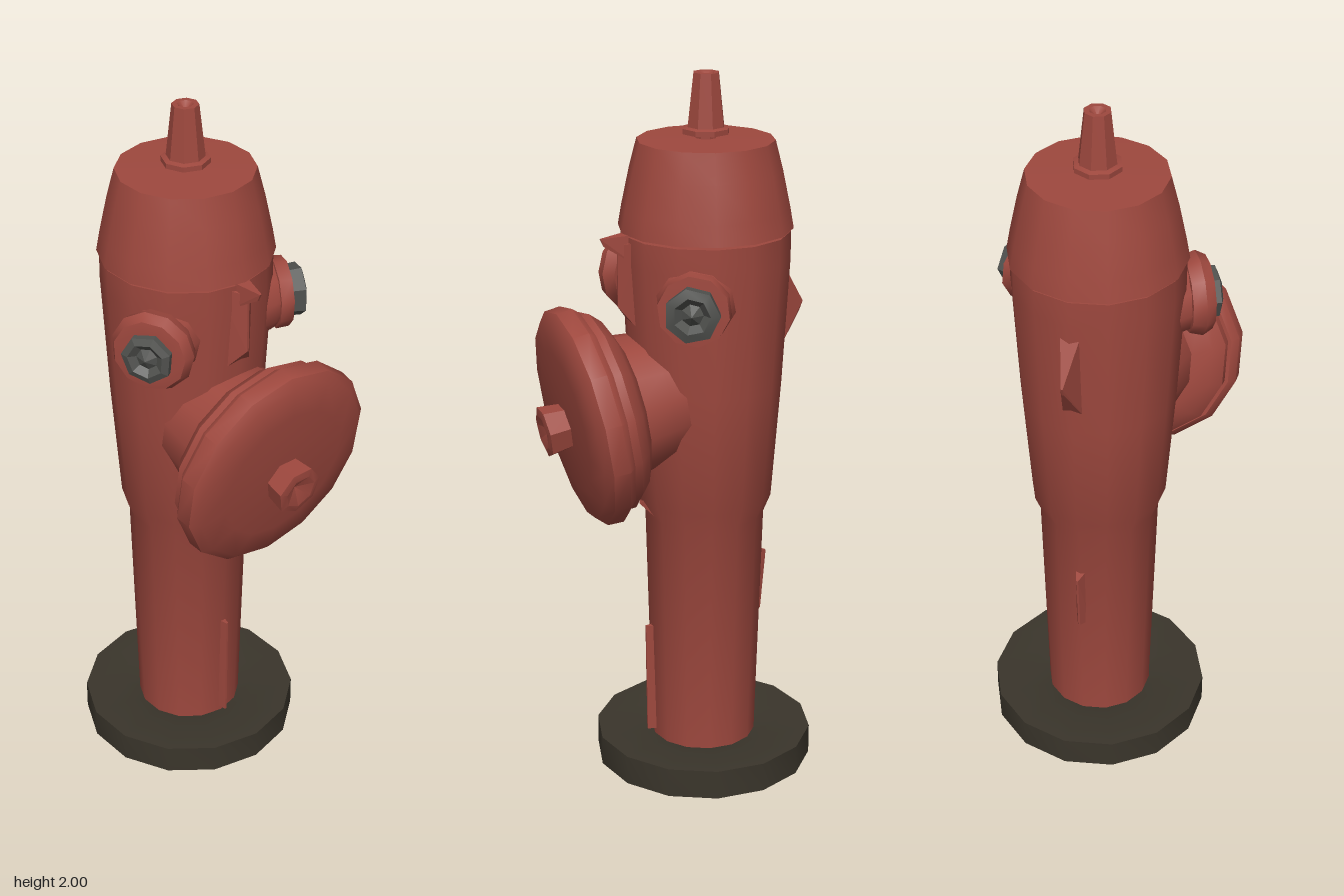
import * as THREE from 'three';
import { toCreasedNormals } from 'three/addons/utils/BufferGeometryUtils.js';
import { ConvexGeometry } from 'three/addons/geometries/ConvexGeometry.js';

const AXIS_Z = -0.08; // centre line of the barrel

const mat = (name, color) => {
  const m = new THREE.MeshStandardMaterial({ color });
  m.name = name;
  return m;
};

export function createModel() {
  const red = mat('hydrant red', 0x9e483e);
  const dark = mat('base brown', 0x3a352b);
  const grey = mat('plug grey', 0x50514e);
  const model = new THREE.Group();
  model.name = 'fireHydrant';

  // Turned part: profile of [radius, height], listed from bottom to top
  const turned = (name, parent, material, sides, profile, crease = 0.7) => {
    const points = profile.map(([r, y]) => new THREE.Vector2(r, y));
    const geometry = toCreasedNormals(new THREE.LatheGeometry(points, sides), crease);
    const mesh = new THREE.Mesh(geometry, material);
    mesh.name = name;
    parent.add(mesh);
    return mesh;
  };

  // Group whose local y axis points along a direction
  const aimed = (name, position, direction) => {
    const group = new THREE.Group();
    group.name = name;
    group.position.set(...position);
    group.quaternion.setFromUnitVectors(
      new THREE.Vector3(0, 1, 0), new THREE.Vector3(...direction).normalize());
    model.add(group);
    return group;
  };

  // Sharp ridge: broad root and thin edge, points given as [z, y]
  const ridge = (name, halfWidth, root, edge) => {
    const points = [];
    for (const [z, y] of root) {
      points.push(new THREE.Vector3(-halfWidth, y, z), new THREE.Vector3(halfWidth, y, z));
    }
    for (const [z, y] of edge) {
      points.push(new THREE.Vector3(-0.003, y, z), new THREE.Vector3(0.003, y, z));
    }
    const mesh = new THREE.Mesh(new ConvexGeometry(points), red);
    mesh.name = name;
    model.add(mesh);
  };

  // Upright parts
  const column = new THREE.Group();
  column.name = 'column';
  column.position.z = AXIS_Z;
  model.add(column);
  turned('baseRing', column, dark, 14, [
    [0.14, 0.01], [0.16, 0], [0.312, 0], [0.312, 0.085], [0.2, 0.085], [0.14, 0.07], [0.14, 0.01]]);
  turned('barrel', column, red, 14, [
    [0, 0.02], [0.15, 0.02], [0.15, 0.09], [0.168, 0.76], [0.188, 0.81],
    [0.213, 1.15], [0.232, 1.5], [0.232, 1.575], [0, 1.575]]);
  turned('bonnet', column, red, 14, [
    [0, 1.583], [0.239, 1.583], [0.229, 1.64], [0.208, 1.74], [0.187, 1.822], [0, 1.826]]);
  turned('finial', column, red, 8, [
    [0.03, 1.82], [0.03, 1.838], [0.066, 1.838], [0.066, 1.852], [0.052, 1.856],
    [0.036, 2], [0.022, 2], [0, 1.98]]);

  // Big front outlet, tipped slightly downward
  const outlet = aimed('frontOutlet', [0, 1.08, 0.27], [0, -0.165, 0.986]);
  turned('outletNeck', outlet, red, 14, [[0.17, -0.32], [0.185, -0.2], [0.2, -0.09]]);
  turned('outletFlange', outlet, red, 14, [
    [0, -0.12], [0.2, -0.12], [0.25, -0.095], [0.28, -0.065], [0.28, -0.02]]);
  turned('outletCover', outlet, red, 14, [
    [0.2, -0.035], [0.29, -0.04], [0.308, -0.02], [0.305, 0.025], [0.28, 0.045],
    [0.2, 0.056], [0, 0.062]], 0.8);
  const nut = turned('outletNut', outlet, red, 7, [
    [0.062, 0.04], [0.072, 0.12], [0.05, 0.125], [0, 0.1]]);
  nut.position.z = 0.015;

  // Smaller side outlets with grey plugs
  const left = aimed('leftOutlet', [0.225, 1.42, 0.035], [0.87, 0, 0.42]);
  turned('leftNeck', left, red, 10, [[0.125, -0.12], [0.1, -0.03], [0.085, 0]]);
  turned('leftCollar', left, red, 10, [[0.07, -0.02], [0.1, -0.015], [0.097, 0.022], [0, 0.026]]);
  turned('leftPlug', left, grey, 7, [
    [0.07, 0.01], [0.075, 0.062], [0.05, 0.07], [0.03, 0.05], [0, 0.075]], 0.3);

  const right = aimed('rightOutlet', [-0.222, 1.42, 0.055], [-0.85, 0, 0.5]);
  turned('rightNeck', right, red, 10, [[0.12, -0.12], [0.1, -0.04], [0.09, 0]]);
  turned('rightCollar', right, red, 11, [
    [0.07, -0.03], [0.105, -0.025], [0.115, 0.01], [0.1, 0.038], [0.07, 0.042], [0, 0.03]]);
  turned('rightPlug', right, grey, 7, [
    [0.07, 0.025], [0.07, 0.06], [0.05, 0.068], [0.03, 0.052], [0, 0.07]], 0.3);

  // Crest under the bonnet and casting seams
  ridge('frontCrest', 0.025, [[0.13, 1.582], [0.13, 1.5]], [[0.22, 1.572], [0.21, 1.55], [0.165, 1.53]]);
  ridge('frontSeam', 0.06, [[0.12, 1.57], [0.11, 1.3]], [[0.172, 1.55], [0.172, 1.38]]);
  ridge('shoulderLip', 0.08, [[0.05, 0.9], [0.05, 0.74]], [[0.113, 0.8]]);
  ridge('backBump', 0.03, [[-0.29, 1.48], [-0.28, 1.2]], [[-0.37, 1.345], [-0.36, 1.32]]);
  ridge('lowerFrontSeam', 0.012, [[0.06, 0.42], [0.05, 0.09]], [[0.097, 0.42], [0.093, 0.09]]);
  ridge('lowerBackSeam', 0.02, [[-0.22, 0.62], [-0.22, 0.42]], [[-0.27, 0.605], [-0.255, 0.425]]);

  return model;
}
